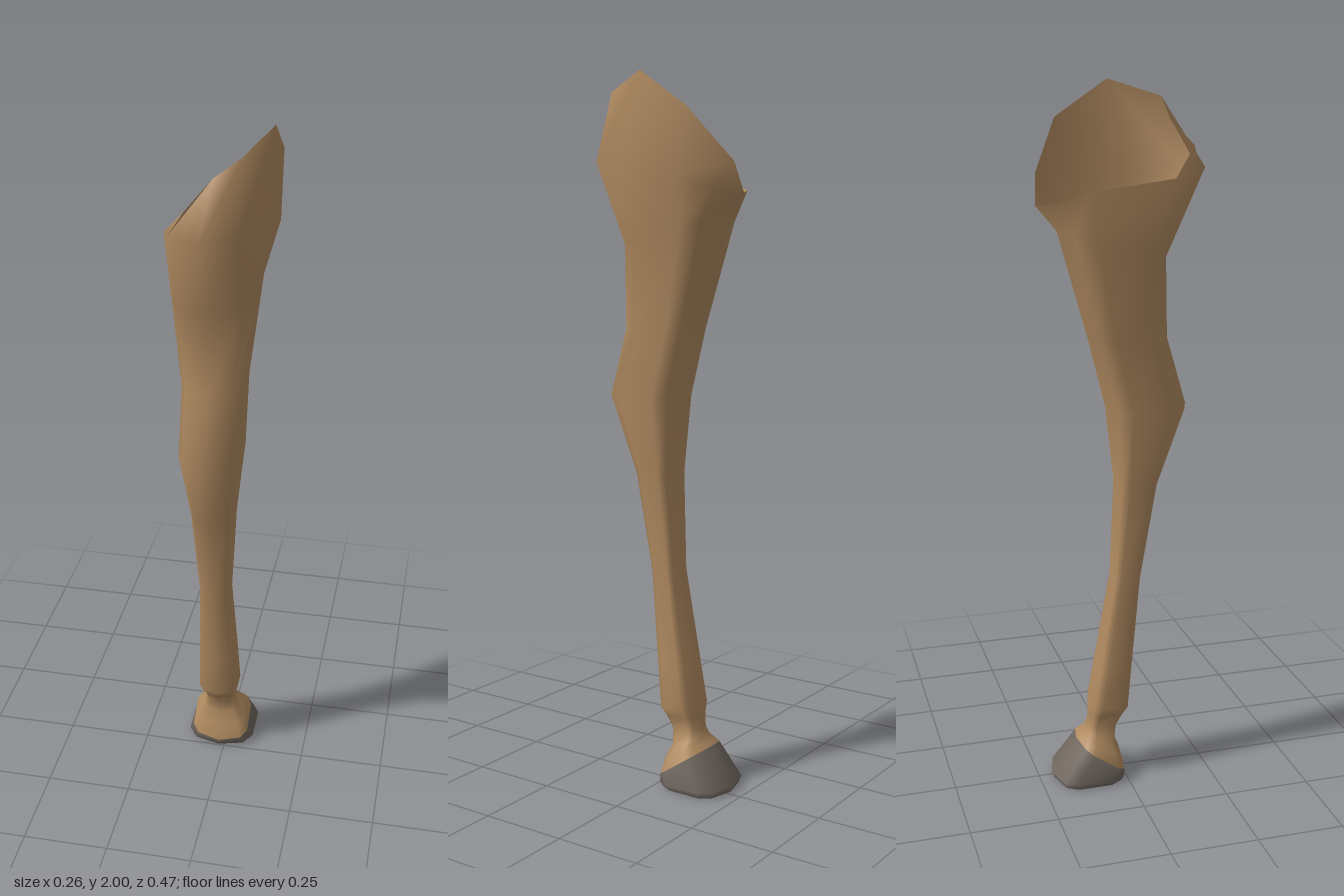
import * as THREE from 'three';
import { mergeVertices } from 'three/addons/utils/BufferGeometryUtils.js';

// Ten-sided cross-section, from the front round by +x to the back: [x, z] in -1..1
const SECTION = [
  [0, 1], [0.78, 0.81], [1, 0.49], [1, -0.49], [0.78, -0.81],
  [0, -1], [-0.78, -0.81], [-1, -0.49], [-1, 0.49], [-0.78, 0.81],
];

// One ring, given heights at front and back, x centre, half width, z at front and back
function ring([yFront, yBack, xc, halfWidth, zFront, zBack]) {
  return SECTION.map(([sx, sz]) => {
    const t = (1 - sz) / 2;
    return [
      xc + sx * halfWidth,
      THREE.MathUtils.lerp(yFront, yBack, t),
      THREE.MathUtils.lerp(zFront, zBack, t),
    ];
  });
}

// Smooth skin through rings listed from bottom to top
function loft(rings) {
  const n = SECTION.length;
  const index = [];
  for (let r = 0; r < rings.length - 1; r++) {
    for (let i = 0; i < n; i++) {
      const a = r * n + i, b = r * n + (i + 1) % n;
      index.push(a, b, b + n, a, b + n, a + n);
    }
  }
  let geo = new THREE.BufferGeometry();
  geo.setAttribute('position', new THREE.Float32BufferAttribute(rings.flat(2), 3));
  geo.setIndex(index);
  geo = mergeVertices(geo, 1e-4);
  geo.computeVertexNormals();
  return geo;
}

export function createModel() {
  const group = new THREE.Group();
  group.name = 'leg';
  const hide = new THREE.MeshStandardMaterial({ color: 0xb08a60, side: THREE.DoubleSide });
  hide.name = 'brown hide';
  const horn = new THREE.MeshStandardMaterial({ color: 0x70675f, side: THREE.DoubleSide });
  horn.name = 'grey horn';

  const add = (name, geometry, material) => {
    const mesh = new THREE.Mesh(geometry, material);
    mesh.name = name;
    group.add(mesh);
  };

  // Tilted line where the hoof meets the hide
  const coronet = ring([0.022, 0.12, -0.017, 0.087, 0.003, -0.14]);

  // Fetlock, shin, knee and forearm
  const legRings = [
    [0.075, 0.13, -0.017, 0.074, -0.01, -0.128],
    [0.115, 0.145, -0.018, 0.052, -0.026, -0.114],
    [0.16, 0.165, -0.02, 0.04, -0.02, -0.108],
    [0.195, 0.2, -0.02, 0.045, 0.0, -0.105],
    [0.22, 0.235, -0.02, 0.059, 0.016, -0.105],
    [0.35, 0.35, -0.02, 0.055, 0.027, -0.084],
    [0.62, 0.62, -0.021, 0.044, 0.052, -0.036],
    [0.9, 0.9, -0.02, 0.06, 0.1, -0.024],
    [1.12, 1.12, -0.018, 0.082, 0.185, -0.048],
    [1.31, 1.31, -0.018, 0.082, 0.13, -0.095],
    [1.535, 1.61, -0.019, 0.111, 0.125, -0.18],
  ].map(ring);

  // Widest ring of the shoulder
  const shoulder = [
    [-0.015, 1.77, 0.235], [0.072, 1.77, 0.19], [0.124, 1.74, 0.075],
    [0.13, 1.72, -0.115], [0.08, 1.69, -0.2], [-0.015, 1.68, -0.237],
    [-0.105, 1.69, -0.193], [-0.13, 1.72, -0.115], [-0.13, 1.75, 0.115],
    [-0.105, 1.765, 0.19],
  ];

  // Slanted open rim: it rises on the +x side and meets the shoulder ring elsewhere
  const rim = shoulder.map((p) => [...p]);
  rim[0] = [0, 1.9, 0.137];
  rim[1] = [0.072, 1.955, 0.136];
  rim[2] = [0.13, 2, 0];
  rim[3] = [0.13, 1.9, -0.148];
  rim[4] = [0.02, 1.76, -0.228];
  rim[9] = [-0.062, 1.83, 0.188];

  add('limb', loft([coronet, ...legRings, shoulder, rim]), hide);

  // Hoof wall flaring back to the ground
  const ground = ring([0, 0, -0.017, 0.094, -0.004, -0.208]);
  const edge = ring([0.012, 0.02, -0.017, 0.102, 0.004, -0.215]);
  add('hoof', loft([ground, edge, coronet]), horn);

  // Flat sole closing the hoof
  const sole = new THREE.ShapeGeometry(
    new THREE.Shape(ground.map(([x, , z]) => new THREE.Vector2(x, z))));
  sole.rotateX(Math.PI / 2);
  add('sole', sole, horn);

  return group;
}
